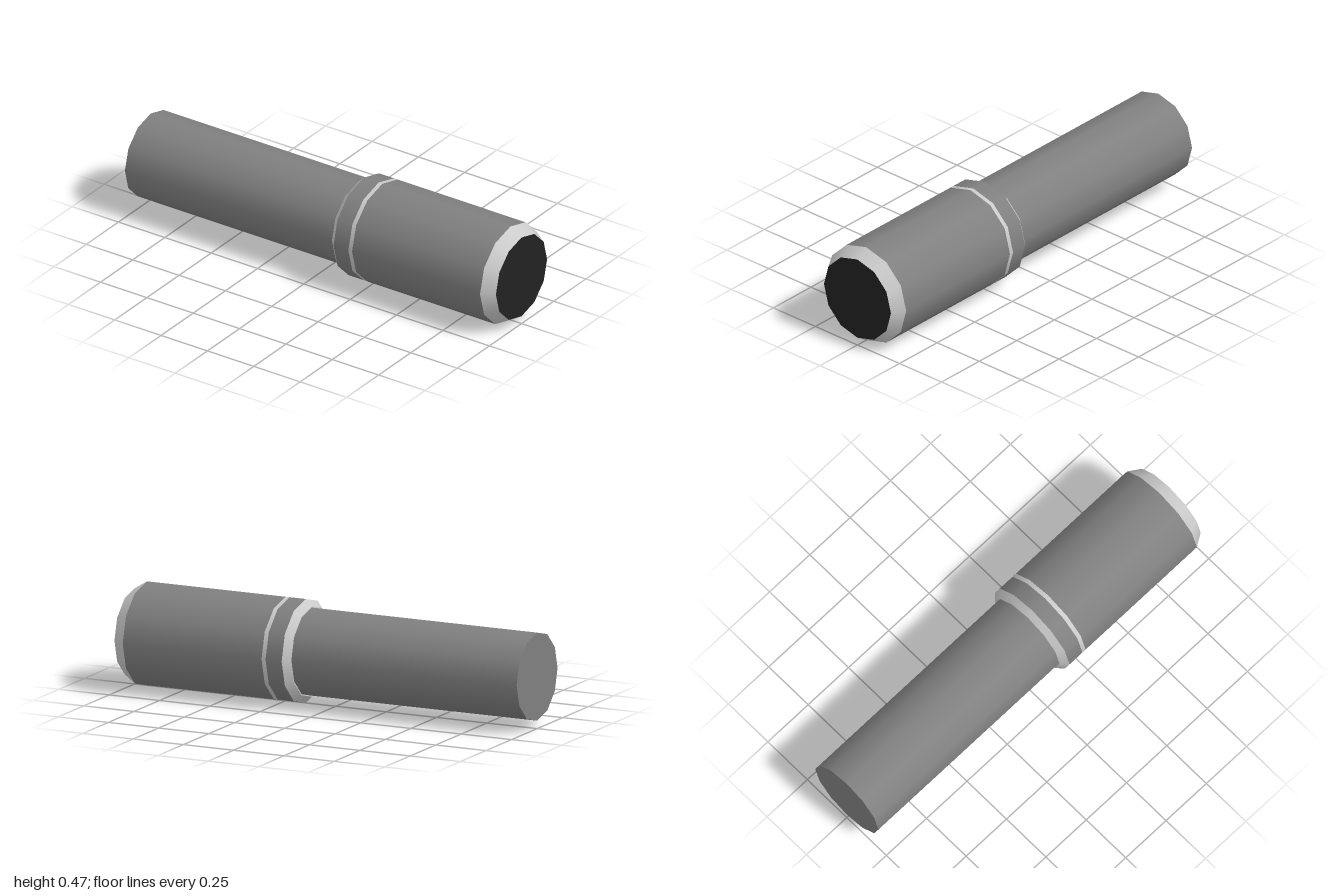
import * as THREE from 'three';

const SIDES = 12;
const R = 0.236;      // head radius
const GRIP = 0.2;     // handle radius

const paint = (color) => new THREE.MeshStandardMaterial({ color });

export function createModel() {
  const group = new THREE.Group();
  const body = paint(0x808080);
  const trim = paint(0xcccccc);
  const dark = paint(0x222222);

  // Open twelve-sided band along x, from (x0, r0) to (x1, r1)
  function band(name, x0, r0, x1, r1, material) {
    const geo = new THREE.CylinderGeometry(r1, r0, x1 - x0, SIDES, 1, true);
    geo.rotateZ(-Math.PI / 2);
    geo.translate((x0 + x1) / 2, R, 0);
    const mesh = new THREE.Mesh(geo, material);
    mesh.name = name;
    group.add(mesh);
  }

  // Flat twelve-sided disc facing +x (dir 1) or -x (dir -1)
  function disc(name, x, r, dir, material) {
    const geo = new THREE.CircleGeometry(r, SIDES);
    geo.rotateY(dir * Math.PI / 2);
    geo.translate(x, R, 0);
    const mesh = new THREE.Mesh(geo, material);
    mesh.name = name;
    group.add(mesh);
  }

  // Handle
  disc('handleEnd', -1, GRIP, -1, body);
  band('handle', -1, GRIP, 0.12, GRIP, body);

  // Head: bevelled collar, inlaid ring, barrel, front bezel
  disc('collarBack', 0.12, 0.205, -1, trim);
  band('collarBevel', 0.12, 0.205, 0.15, R, trim);
  band('collar', 0.15, R, 0.23, R, body);
  band('ring', 0.23, R, 0.25, R, trim);
  band('barrel', 0.25, R, 0.94, R, body);
  band('bezel', 0.94, R, 1, 0.199, trim);
  disc('lens', 1, 0.199, 1, dark);

  return group;
}
